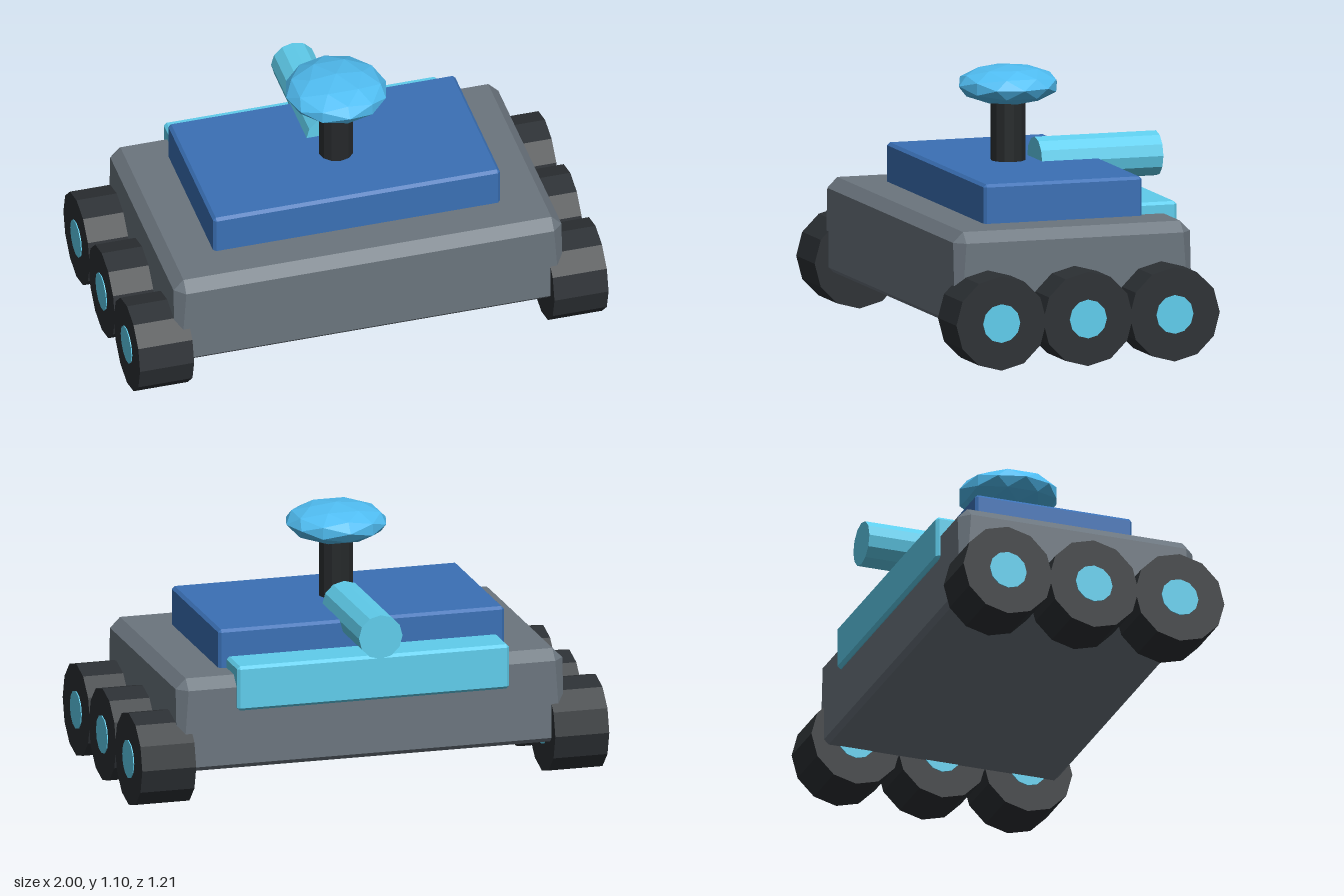
import * as THREE from 'three';
import { ConvexGeometry } from 'three/addons/geometries/ConvexGeometry.js';

const mat = (color) => new THREE.MeshStandardMaterial({ color, flatShading: true });
const hullGrey = mat(0x6b757e);
const deckBlue = mat(0x3a70b5);
const cyan = mat(0x5fcdec);
const dishBlue = mat(0x50bdf2);
const rubber = mat(0x2c3034);
const mastBlack = mat(0x25282a);

// Box with chamfered edges; top and bottom chamfers may differ
function chamferBox([x0, x1], [y0, y1], [z0, z1], top, bottom = top) {
  const points = [];
  for (const [x, sx] of [[x0, 1], [x1, -1]])
    for (const [y, c] of [[y0, bottom], [y1, -top]])
      for (const [z, sz] of [[z0, 1], [z1, -1]]) {
        const a = Math.abs(c);
        points.push(
          new THREE.Vector3(x, y + c, z + sz * a),
          new THREE.Vector3(x + sx * a, y, z + sz * a),
          new THREE.Vector3(x + sx * a, y + c, z),
        );
      }
  return new ConvexGeometry(points);
}

export function createModel() {
  const model = new THREE.Group();
  const add = (name, geometry, material, x = 0, y = 0, z = 0, parent = model) => {
    const mesh = new THREE.Mesh(geometry, material);
    mesh.name = name;
    mesh.position.set(x, y, z);
    parent.add(mesh);
    return mesh;
  };

  // Body
  add('hull', chamferBox([-0.825, 0.825], [0.16, 0.55], [-0.48, 0.545], 0.043, 0.02), hullGrey);
  add('deck', chamferBox([-0.61, 0.61], [0.5, 0.712], [-0.335, 0.35], 0.012), deckBlue);
  add('rearBox', chamferBox([-0.583, 0.577], [0.408, 0.597], [-0.497, -0.3], 0.012), cyan);

  // Rear cylinder lying on the deck
  const barrel = new THREE.CylinderGeometry(0.093, 0.093, 0.525, 12).rotateX(Math.PI / 2);
  add('rearCylinder', barrel, cyan, 0, 0.708, -0.343);

  // Mast and faceted dish
  add('mast', new THREE.CylinderGeometry(0.072, 0.072, 0.32, 12), mastBlack, 0, 0.84, 0.035);
  const dish = new THREE.IcosahedronGeometry(1, 1).scale(0.212, 0.081, 0.212);
  add('dish', dish, dishBlue, 0, 1.025, 0.035);

  // Three wheels on each side
  const tyre = new THREE.CylinderGeometry(0.195, 0.195, 0.23, 12).rotateZ(Math.PI / 2);
  const hub = new THREE.CylinderGeometry(0.08, 0.08, 0.238, 12).rotateZ(Math.PI / 2);
  for (const [side, sx] of [['left', 1], ['right', -1]])
    [['Front', 0.41], ['Middle', 0.035], ['Rear', -0.34]].forEach(([place, z]) => {
      const wheel = new THREE.Group();
      wheel.name = `${side}${place}Wheel`;
      wheel.position.set(sx * 0.881, 0.198, z);
      add('tyre', tyre, rubber, 0, 0, 0, wheel);
      add('hub', hub, cyan, 0, 0, 0, wheel);
      model.add(wheel);
    });

  return model;
}
